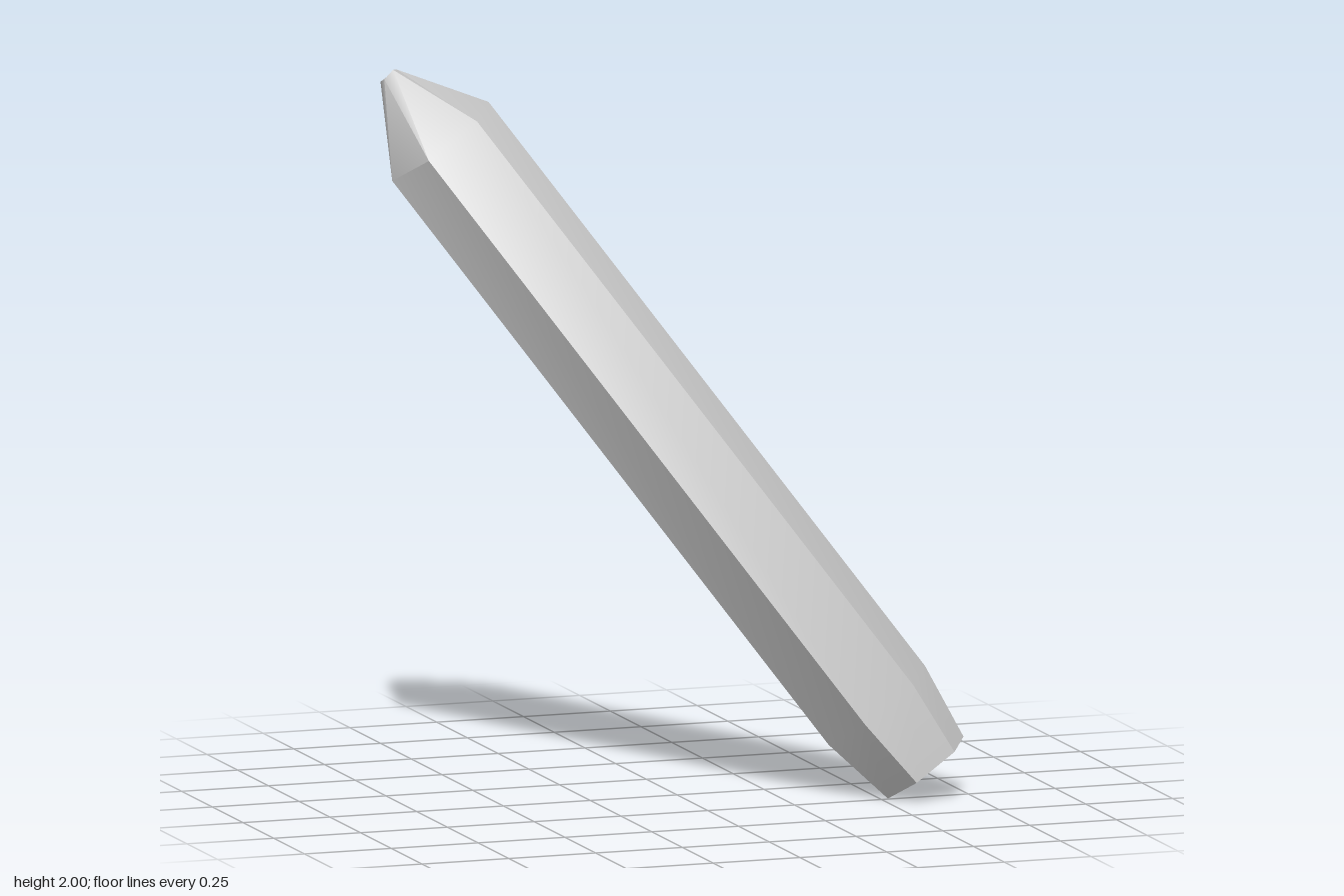
import * as THREE from 'three';
import { toCreasedNormals } from 'three/addons/utils/BufferGeometryUtils.js';

const v = (x, y, z) => new THREE.Vector3(x, y, z);

// Six-sided cross-section square to the shaft, running right, front, left, back
function hexRing(center, radius) {
  const u = v(0.814, 0.581, -0.02).normalize();
  const axis = v(-0.572, 0.794, -0.204).normalize();
  const w = u.clone().cross(axis).normalize();
  if (w.z < 0) w.negate();
  return Array.from({ length: 6 }, (_, i) => {
    const a = (i * Math.PI) / 3;
    return center.clone().addScaledVector(u, radius * Math.cos(a)).addScaledVector(w, radius * Math.sin(a));
  });
}

// Skin a list of rings and close both ends
function loft(rings) {
  const pos = [];
  const tri = (...pts) => pts.forEach((p) => pos.push(p.x, p.y, p.z));
  for (let r = 0; r < rings.length - 1; r++) {
    const lo = rings[r], hi = rings[r + 1];
    for (let i = 0; i < 6; i++) {
      const j = (i + 1) % 6;
      tri(lo[j], lo[i], hi[i]);
      tri(lo[j], hi[i], hi[j]);
    }
  }
  const base = rings[0], top = rings[rings.length - 1];
  for (let i = 1; i < 5; i++) {
    tri(base[0], base[i], base[i + 1]);
    tri(top[0], top[i + 1], top[i]);
  }
  const g = new THREE.BufferGeometry();
  g.setAttribute('position', new THREE.Float32BufferAttribute(pos, 3));
  return toCreasedNormals(g, 0.72);
}

export function createModel() {
  const group = new THREE.Group();
  group.name = 'crystalShaft';
  const grey = new THREE.MeshStandardMaterial({ color: 0xcccccc });
  grey.name = 'lightGrey';

  // Small slanted facet at the point, set slightly behind the shaft axis
  const tip = [
    v(-0.70, 1.995, -0.305), v(-0.72, 2.0, -0.277), v(-0.745, 1.975, -0.277),
    v(-0.748, 1.965, -0.30), v(-0.722, 1.965, -0.326), v(-0.70, 1.98, -0.327),
  ];

  // Narrowed foot, long straight shaft, then the pointed end
  const crystal = new THREE.Mesh(loft([
    hexRing(v(0.631, 0.081, 0.24), 0.135),
    hexRing(v(0.509, 0.251, 0.187), 0.172),
    hexRing(v(-0.607, 1.807, -0.211), 0.172),
    tip,
  ]), grey);
  crystal.name = 'hexagonalCrystal';
  group.add(crystal);
  return group;
}
